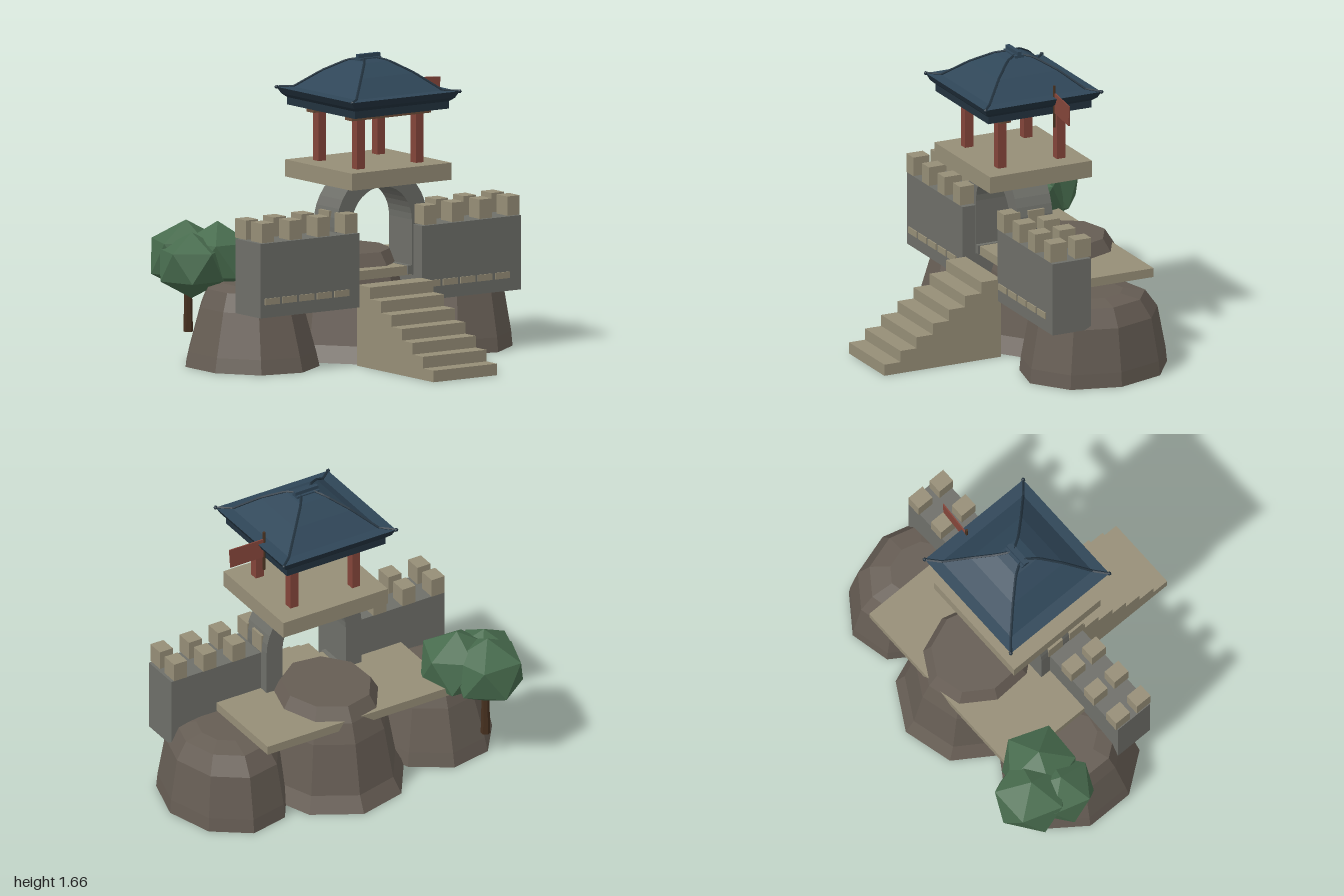
import * as THREE from 'three';

const mat = (color) => new THREE.MeshStandardMaterial({ color, flatShading: true, side: THREE.DoubleSide });
const tan = mat(0x968e77), grey = mat(0x6e6f69), stone = mat(0x665d54), red = mat(0x84453a);
const wood = mat(0x6b4c38), darkWood = mat(0x46301f), navy = mat(0x2f4658), darkNavy = mat(0x22323e), leaf = mat(0x486c4e);

export function createModel() {
  const root = new THREE.Group();

  const add = (name, geo, material, x = 0, y = 0, z = 0, parent = root) => {
    const m = new THREE.Mesh(geo, material);
    m.name = name;
    m.position.set(x, y, z);
    parent.add(m);
    return m;
  };
  // Box given by its minimum and maximum on each axis
  const box = (name, material, x0, x1, y0, y1, z0, z1, parent = root) =>
    add(name, new THREE.BoxGeometry(x1 - x0, y1 - y0, z1 - z0), material,
      (x0 + x1) / 2, (y0 + y1) / 2, (z0 + z1) / 2, parent);
  const group = (name) => {
    const g = new THREE.Group();
    g.name = name;
    root.add(g);
    return g;
  };

  // Skin over a stack of rings of n points each, with optional end caps
  const loft = (rings, capBottom, capTop) => {
    const n = rings[0].length, pos = [];
    const tri = (...p) => p.forEach((v) => pos.push(v.x, v.y, v.z));
    const mid = (r) => r.reduce((s, v) => s.add(v), new THREE.Vector3()).divideScalar(n);
    const low = rings[0], top = rings[rings.length - 1];
    for (let i = 0; i < n; i++) {
      const j = (i + 1) % n;
      for (let k = 0; k < rings.length - 1; k++) {
        const a = rings[k], b = rings[k + 1];
        tri(a[i], b[i], a[j]);
        tri(a[j], b[i], b[j]);
      }
      if (capBottom) tri(mid(low), low[i], low[j]);
      if (capTop) tri(mid(top), top[j], top[i]);
    }
    const g = new THREE.BufferGeometry();
    g.setAttribute('position', new THREE.Float32BufferAttribute(pos, 3));
    g.computeVertexNormals();
    return g;
  };

  // Rocks, hollow underneath: nine-sided rings of [scale, height]
  const rock = (name, x, z, rx, rz, profile, phase) => {
    const n = 9;
    const rings = profile.map(([s, y]) => Array.from({ length: n }, (_, i) => {
      const a = (i / n) * Math.PI * 2 + phase;
      return new THREE.Vector3(Math.cos(a) * rx * s, y, Math.sin(a) * rz * s);
    }));
    add(name, loft(rings, false, true), stone, x, 0, z);
  };
  rock('rightRock', -0.61, -0.24, 0.355, 0.4,
    [[1, 0], [0.95, 0.08], [0.77, 0.32], [0.66, 0.42], [0.4, 0.445]], 0);
  rock('leftRock', 0.66, -0.22, 0.335, 0.42,
    [[1, 0], [0.98, 0.08], [0.87, 0.32], [0.7, 0.42], [0.4, 0.445]], 0);
  rock('backRock', 0.06, -0.31, 0.42, 0.472,
    [[1, 0], [0.89, 0.09], [0.77, 0.38], [0.68, 0.49], [0.57, 0.57]], -0.05);

  // Terrace behind the walls, reaching under the gate
  box('terrace', tan, -0.55, 0.615, 0.45, 0.5, -0.605, 0.06);

  // Stairs as full-height blocks
  const stairs = group('stairs');
  for (let i = 0; i < 7; i++) {
    const z = 0.835 - i * 0.0975;
    box('step', tan, -0.17, 0.25, 0, (i + 1) * 0.063, i < 6 ? z - 0.0975 : 0.13, z, stairs);
  }

  // Battlement walls with two rows of merlons and a row of small ledges
  for (const [name, x0, x1, m0, l0] of [
    ['rightWall', -0.825, -0.17, -0.78, -0.75], ['leftWall', 0.245, 0.9, 0.295, 0.315]]) {
    const g = group(name);
    box('wallBody', grey, x0, x1, 0.32, 0.725, -0.08, 0.15, g);
    for (let i = 0; i < 4; i++) {
      const x = m0 + i * 0.184;
      for (const z of [0.107, -0.04])
        box('merlon', tan, x - 0.041, x + 0.041, 0.73, 0.835, z - 0.049, z + 0.049, g);
    }
    for (let i = 0; i < 5; i++) {
      const x = l0 + i * 0.115;
      box('ledge', tan, x - 0.048, x + 0.048, 0.39, 0.425, 0.14, 0.157, g);
    }
  }

  // Gate arch
  const arch = new THREE.Shape();
  arch.moveTo(0.3, 0.45);
  arch.lineTo(0.3, 0.75);
  arch.absarc(0, 0.75, 0.3, 0, Math.PI, false);
  arch.lineTo(-0.3, 0.45);
  arch.lineTo(-0.2, 0.45);
  arch.lineTo(-0.2, 0.75);
  arch.absarc(0, 0.75, 0.2, Math.PI, 0, true);
  arch.lineTo(0.2, 0.45);
  add('gateArch', new THREE.ExtrudeGeometry(arch, { depth: 0.21, bevelEnabled: false, curveSegments: 9 }),
    grey, 0.035, 0, -0.14);
  for (const x of [-0.158, 0.228]) box('archFoot', grey, x - 0.018, x + 0.018, 0.455, 0.503, -0.14, 0.07);

  // Pavilion floor, posts and beams
  box('pavilionFloor', tan, -0.295, 0.365, 0.98, 1.073, -0.36, 0.255);
  for (const z of [0.126, -0.23]) {
    for (const x of [-0.16, 0.23]) box('post', red, x - 0.025, x + 0.025, 1.07, 1.345, z - 0.025, z + 0.025);
    box('beam', wood, -0.225, 0.297, 1.34, 1.372, z - 0.033, z + 0.033);
  }

  // Hipped roof with flared eaves: rings of [half width, half depth, height]
  const roof = group('roof');
  roof.position.set(0.035, 0, -0.055);
  const eave = [[0.312, 0.312, 1.37], [0.312, 0.312, 1.41], [0.335, 0.335, 1.43], [0.355, 0.35, 1.465]];
  const slope = [eave[3], [0.285, 0.29, 1.468], [0.175, 0.18, 1.56], [0.08, 0.078, 1.622], [0.04, 0.015, 1.635]];
  const corner = ([hx, hz, y], i) =>
    new THREE.Vector3(i === 0 || i === 3 ? hx : -hx, y, i < 2 ? hz : -hz);
  const rect = (s) => [0, 1, 2, 3].map((i) => corner(s, i));
  add('eaves', loft(eave.map(rect), true, false), darkNavy, 0, 0, 0, roof);
  add('roofSlopes', loft(slope.map(rect), false, true), navy, 0, 0, 0, roof);
  for (let i = 0; i < 4; i++) {
    const line = new THREE.CatmullRomCurve3(slope.map((s) => corner(s, i)), false, 'catmullrom', 0);
    add('hipRidge', new THREE.TubeGeometry(line, 16, 0.008, 5), darkNavy, 0, 0, 0, roof);
    add('hipTip', new THREE.IcosahedronGeometry(0.012, 0), darkNavy, 0, 0, 0, roof).position.copy(corner(slope[0], i));
  }
  box('ridgeCap', navy, -0.07, 0.07, 1.61, 1.64, -0.026, 0.026, roof);
  box('ridgeCapTop', navy, -0.072, 0.072, 1.64, 1.66, -0.012, 0.012, roof);

  // Flag
  add('flagPole', new THREE.CylinderGeometry(0.008, 0.008, 0.235, 6), darkWood, 0.352, 1.412, -0.14);
  add('flag', new THREE.BoxGeometry(0.205, 0.112, 0.007), red, 0.457, 1.426, -0.133).rotation.set(0, -0.08, -0.06);

  // Tree
  const tree = group('tree');
  add('trunk', new THREE.CylinderGeometry(0.018, 0.026, 0.36, 6), darkWood, -0.755, 0.325, -0.615, tree);
  const tilt = Math.atan(2 / (1 + Math.sqrt(5)));
  for (const [x, y, z, r, turn] of [
    [-0.755, 0.555, -0.635, 0.22, 0.31], [-0.65, 0.555, -0.49, 0.222, 0.9], [-0.825, 0.53, -0.485, 0.2, 1.6]]) {
    const g = new THREE.IcosahedronGeometry(r, 0);
    g.rotateZ(tilt).rotateY(turn).scale(1, 0.9, 1);
    add('foliage', g, leaf, x, y, z, tree);
  }
  return root;
}
